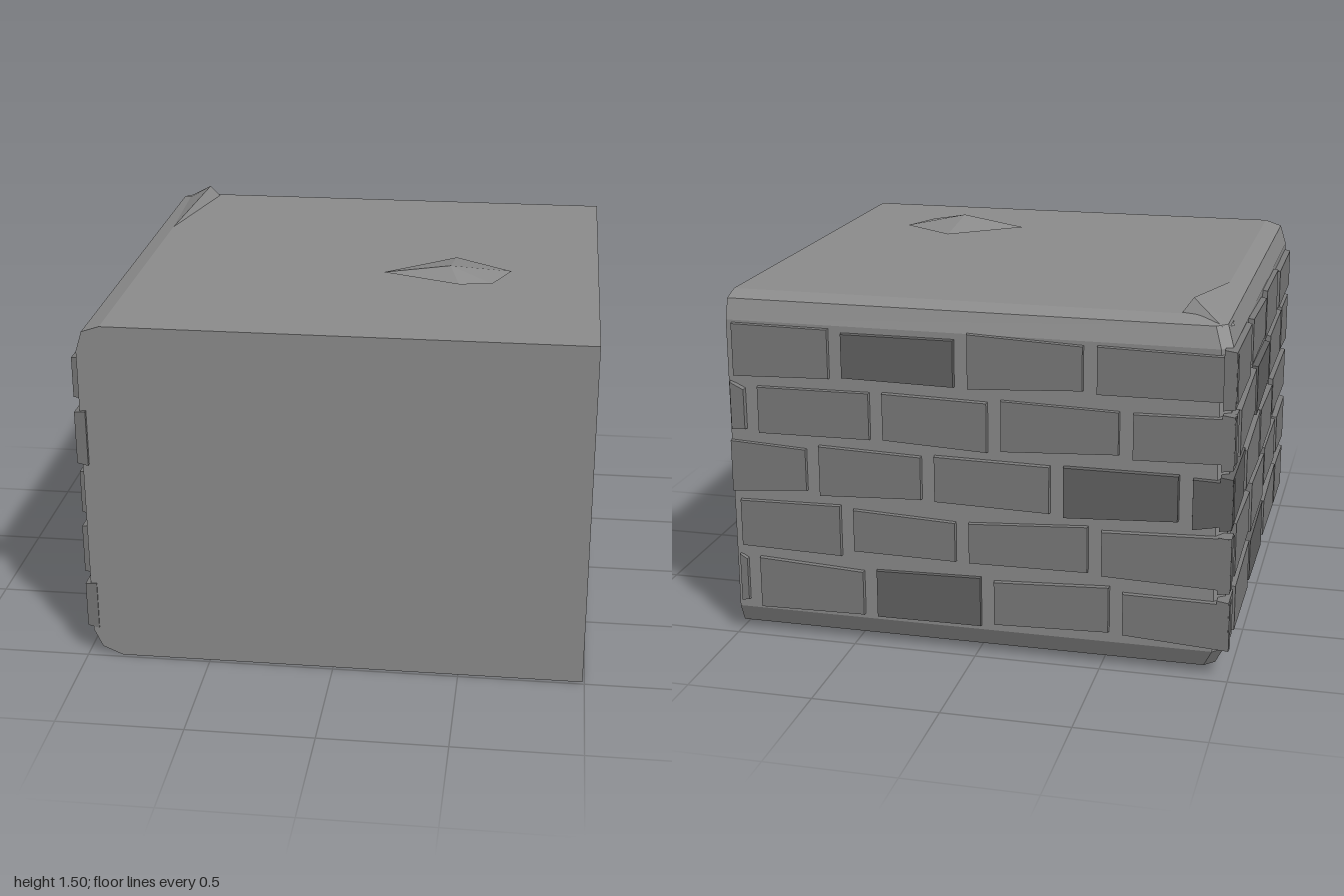
import * as THREE from 'three';
import { ConvexGeometry } from 'three/addons/geometries/ConvexGeometry.js';

const grey = (color) => new THREE.MeshStandardMaterial({ color, flatShading: true });
const stone = grey(0x8b8b8b);
const brick = grey(0x7a7a7a);
const darkBrick = grey(0x626262);

function addMesh(parent, name, geometry, material) {
  const mesh = new THREE.Mesh(geometry, material);
  mesh.name = name;
  parent.add(mesh);
}

// Core block: stacked five-sided rings, bevelled only towards the back and the -x side.
function blockGeometry() {
  const levels = [[0, 0.115], [0.035, 0.035], [0.11, 0], [1.31, 0], [1.39, 0.025], [1.413, 0.095]]; // [y, inset]
  const positions = [];
  const indices = [];
  const n = 5;
  const cut = 0.04;
  for (const [y, s] of levels) {
    const x = -0.975 + s;
    const z = -0.98 + s;
    positions.push(0.993, y, 0.985, 0.993, y, z, x + cut, y, z, x, y, z + cut, x, y, 0.985);
  }
  for (let r = 0; r < levels.length - 1; r++) {
    for (let i = 0; i < n; i++) {
      const a = r * n + i;
      const b = r * n + (i + 1) % n;
      indices.push(a, b, b + n, a, b + n, a + n);
    }
  }
  const top = (levels.length - 1) * n;
  for (let i = 1; i < n - 1; i++) {
    indices.push(0, i + 1, i, top, top + i, top + i + 1);
  }
  const geometry = new THREE.BufferGeometry();
  geometry.setAttribute('position', new THREE.Float32BufferAttribute(positions, 3));
  geometry.setIndex(indices);
  const flat = geometry.toNonIndexed();
  flat.computeVertexNormals();
  return flat;
}

// Small seeded generator for the hand-laid unevenness.
function seeded(seed) {
  return () => {
    seed = (seed * 16807) % 2147483647;
    return seed / 2147483647;
  };
}

// One brick between u0 and u1: slightly skewed, with a narrowed outer face.
function brickGeometry(u0, u1, yTop, bevelStart, bevelEnd, random) {
  const height = 0.2;
  const back = 0.95;
  const bevel = 0.007;
  const geometry = new THREE.BoxGeometry(1, 1, 1);
  const p = geometry.attributes.position;
  const shift = [0, 1, 2, 3].map(() => (random() - 0.5) * 0.036);
  const dent = random() * 0.006;
  for (let i = 0; i < p.count; i++) {
    const right = p.getX(i) > 0;
    const up = p.getY(i) > 0;
    const outer = p.getZ(i) > 0;
    let u = right ? u1 : u0;
    let y = (up ? yTop : yTop - height) + shift[(right ? 1 : 0) + (up ? 2 : 0)];
    if (outer) {
      if (right) u -= bevelEnd ? bevel : 0;
      else u += bevelStart ? bevel : 0;
      y += up ? -bevel : bevel;
    }
    p.setXYZ(i, u, y, outer ? 1 - dent : back);
  }
  const flat = geometry.toNonIndexed();
  flat.computeVertexNormals();
  return flat;
}

// A wall of brick courses; each row lists its ends and joints, dark lists the darker bricks per row.
function brickWall(name, rows, dark, cornerAtStart, seed) {
  const wall = new THREE.Group();
  wall.name = name;
  const random = seeded(seed);
  const joint = 0.021;
  rows.forEach((row, r) => {
    const yTop = 1.3 - r * 0.242;
    for (let i = 0; i < row.length - 1; i++) {
      const first = i === 0;
      const last = i === row.length - 2;
      const u0 = row[i] + (first ? 0 : joint);
      const u1 = row[i + 1] - (last ? 0 : joint);
      const bevelStart = !(first && cornerAtStart);
      const bevelEnd = !(last && !cornerAtStart);
      const geometry = brickGeometry(u0, u1, yTop, bevelStart, bevelEnd, random);
      addMesh(wall, 'brick', geometry, dark[r].includes(i) ? darkBrick : brick);
    }
  });
  return wall;
}

function rock(parent, name, points) {
  addMesh(parent, name, new ConvexGeometry(points.map((p) => new THREE.Vector3(...p))), stone);
}

export function createModel() {
  const model = new THREE.Group();
  model.name = 'brickBlock';
  addMesh(model, 'block', blockGeometry(), stone);

  // Back wall runs from +x to the shared corner
  const backWall = brickWall('backBricks', [
    [-0.975, -0.55, -0.05, 0.45, 1],
    [-0.99, -0.9, -0.39, 0.08, 0.59, 1],
    [-1, -0.655, -0.185, 0.325, 0.82, 1],
    [-0.97, -0.52, -0.05, 0.475, 1],
    [-0.985, -0.92, -0.43, 0.05, 0.56, 1],
  ], [[1], [], [3, 4], [], [2]], false, 71);
  backWall.rotation.y = Math.PI;
  model.add(backWall);

  // Side wall runs from the shared corner to the front
  const sideWall = brickWall('sideBricks', [
    [-1, -0.51, 0, 0.49, 0.975],
    [-1, -0.84, -0.3, 0.2, 0.7, 1],
    [-1, -0.6, -0.1, 0.4, 0.975],
    [-1, -0.86, -0.36, 0.14, 0.62, 0.98],
    [-1, -0.84, -0.34, 0.16, 0.65, 0.99],
  ], [[], [2], [0], [], [2]], true, 913);
  sideWall.rotation.y = -Math.PI / 2;
  model.add(sideWall);

  // Raised chip on the bevelled top corner
  rock(model, 'cornerChip', [
    [-0.81, 1.465, -0.84], [-0.88, 1.413, -0.33], [-0.965, 1.37, -0.86],
    [-0.93, 1.385, -0.94], [-0.77, 1.41, -0.87], [-0.85, 1.36, -0.87],
  ]);

  // Thin loose stone just above the top
  const base = [[0.13, 0.34], [0.41, 0.11], [0.64, 0.27], [0.57, 0.44], [0.44, 0.46]];
  rock(model, 'looseStone', [...base.map(([x, z]) => [x, 1.457, z]), [0.4, 1.499, 0.355]]);
  return model;
}
